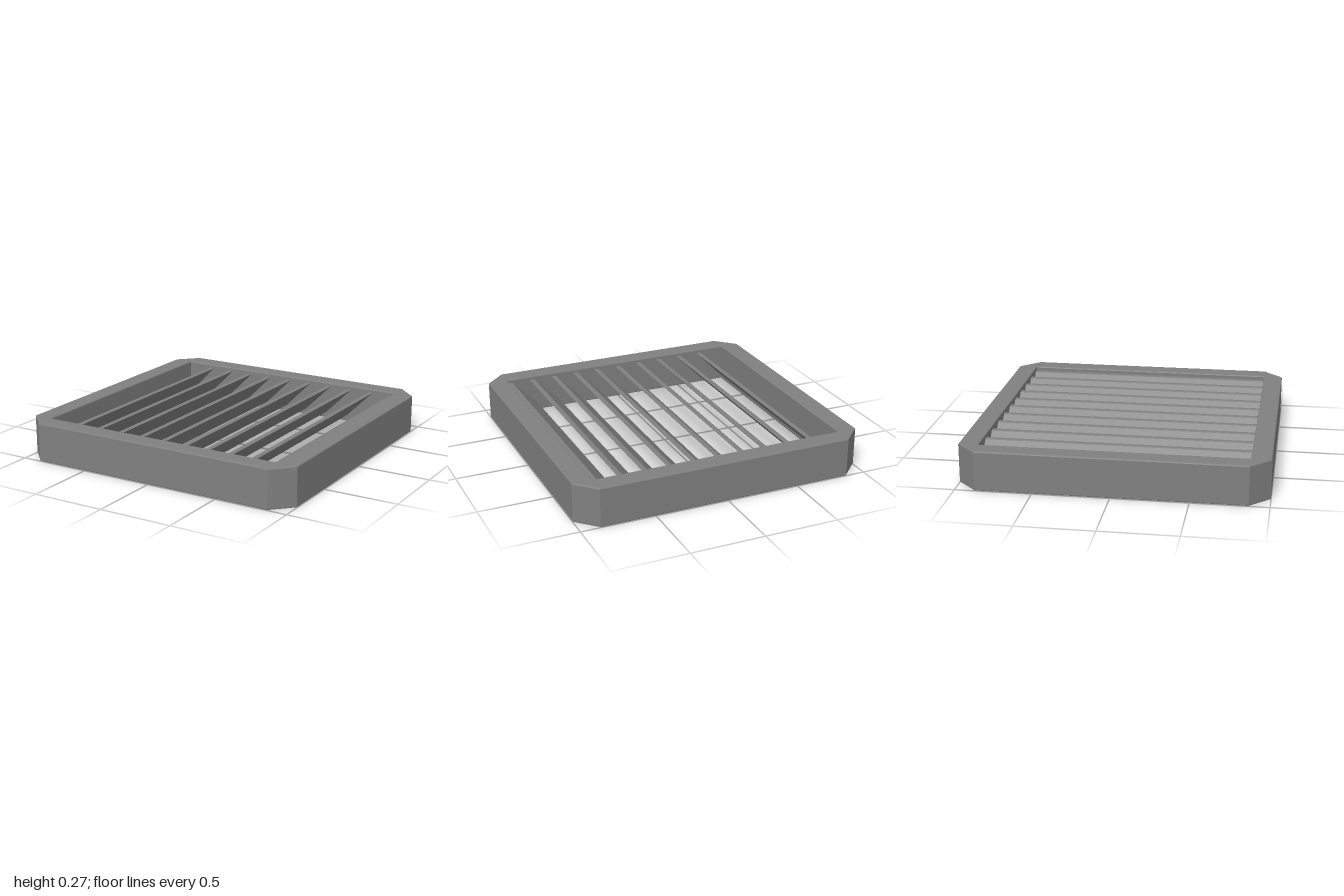
import * as THREE from 'three';

const HEIGHT = 0.267;   // frame height
const INNER = 0.868;    // half width of the opening
const SLATS = 10;
const PITCH = 0.168;

function polygon(points, Type = THREE.Shape) {
  return new Type(points.map(([x, y]) => new THREE.Vector2(x, y)));
}

export function createModel() {
  const grey = new THREE.MeshStandardMaterial({ color: 0x808080 });
  grey.name = 'grey metal';
  const group = new THREE.Group();
  group.name = 'louvredVent';

  // Frame: square with cut corners and a square opening, edges lightly bevelled
  const c = INNER, b = 0.008;
  const outline = polygon([
    [-c, -1], [c, -1], [1, -c], [1, c], [c, 1], [-c, 1], [-1, c], [-1, -c],
  ]);
  outline.holes.push(polygon([[-c, -c], [-c, c], [c, c], [c, -c]], THREE.Path));
  const frameGeometry = new THREE.ExtrudeGeometry(outline, {
    depth: HEIGHT - 2 * b, bevelEnabled: true, bevelSize: b,
    bevelThickness: b, bevelOffset: -b, bevelSegments: 2,
  });
  frameGeometry.translate(0, 0, b).rotateX(-Math.PI / 2);
  const frame = new THREE.Mesh(frameGeometry, grey);
  frame.name = 'frame';
  group.add(frame);

  // Slats: thin 45 degree blades with a flat top lip, rising towards +x
  const profile = polygon([
    [-0.852, 0.042], [-0.655, 0.239], [-0.658, 0.242],
    [-0.685, 0.242], [-0.693, 0.238], [-0.868, 0.061],
  ]);
  const slatGeometry = new THREE.ExtrudeGeometry(profile, { depth: 2 * INNER, bevelEnabled: false });
  slatGeometry.translate(0, 0, -INNER);
  for (let i = 0; i < SLATS; i++) {
    const slat = new THREE.Mesh(slatGeometry, grey);
    slat.name = `slat${i + 1}`;
    slat.position.x = i * PITCH;
    group.add(slat);
  }
  return group;
}
